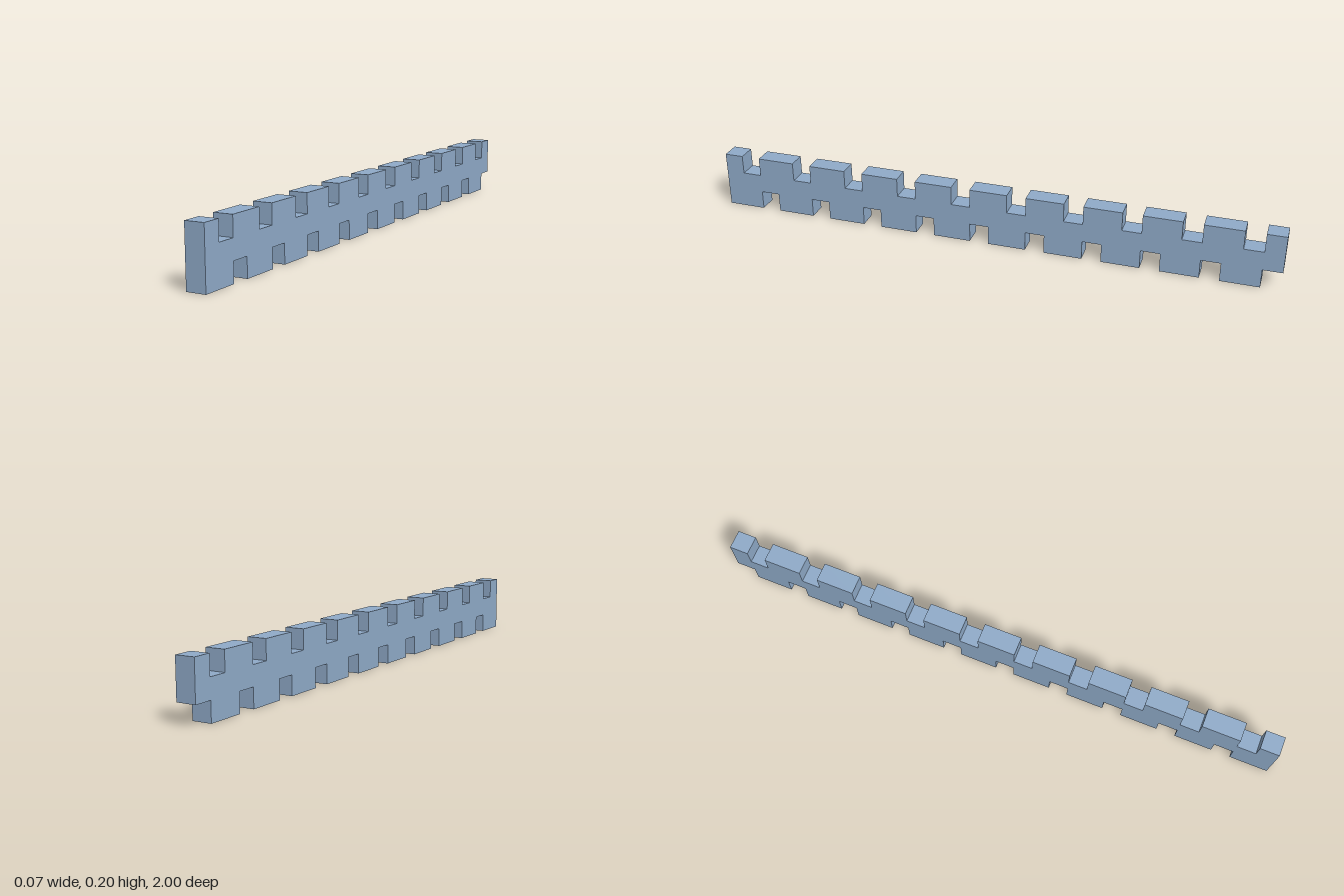
import * as THREE from 'three';

export function createModel() {
  const group = new THREE.Group();
  const unit = 1 / 15; // notch width and depth
  const teeth = 10;
  const length = teeth * 3;
  const steelBlue = new THREE.MeshStandardMaterial({ color: 0x8faac8 });
  steelBlue.name = 'steelBlue';

  // Side outline in notch units, running from the front end to the back
  const points = [];
  const add = (u, y) => points.push(new THREE.Vector2((u - length / 2) * unit, y * unit));

  // Lower edge: two units of tooth, one of notch
  for (let k = 0; k < teeth; k++) {
    const u = k * 3;
    add(u, 0);
    add(u + 2, 0);
    add(u + 2, 1);
    add(u + 3, 1);
  }

  // Upper edge back to the front, notches offset by one unit
  add(length, 3);
  for (let k = teeth - 1; k >= 0; k--) {
    const u = k * 3;
    add(u + 2, 3);
    add(u + 2, 2);
    add(u + 1, 2);
    add(u + 1, 3);
  }
  add(0, 3);

  // Thickness across x, with the start of the outline at +z
  const geometry = new THREE.ExtrudeGeometry(new THREE.Shape(points), {
    depth: unit,
    bevelEnabled: false,
  });
  geometry.translate(0, 0, -unit / 2);
  geometry.rotateY(Math.PI / 2);

  const bar = new THREE.Mesh(geometry, steelBlue);
  bar.name = 'notchedBar';
  group.add(bar);
  return group;
}
